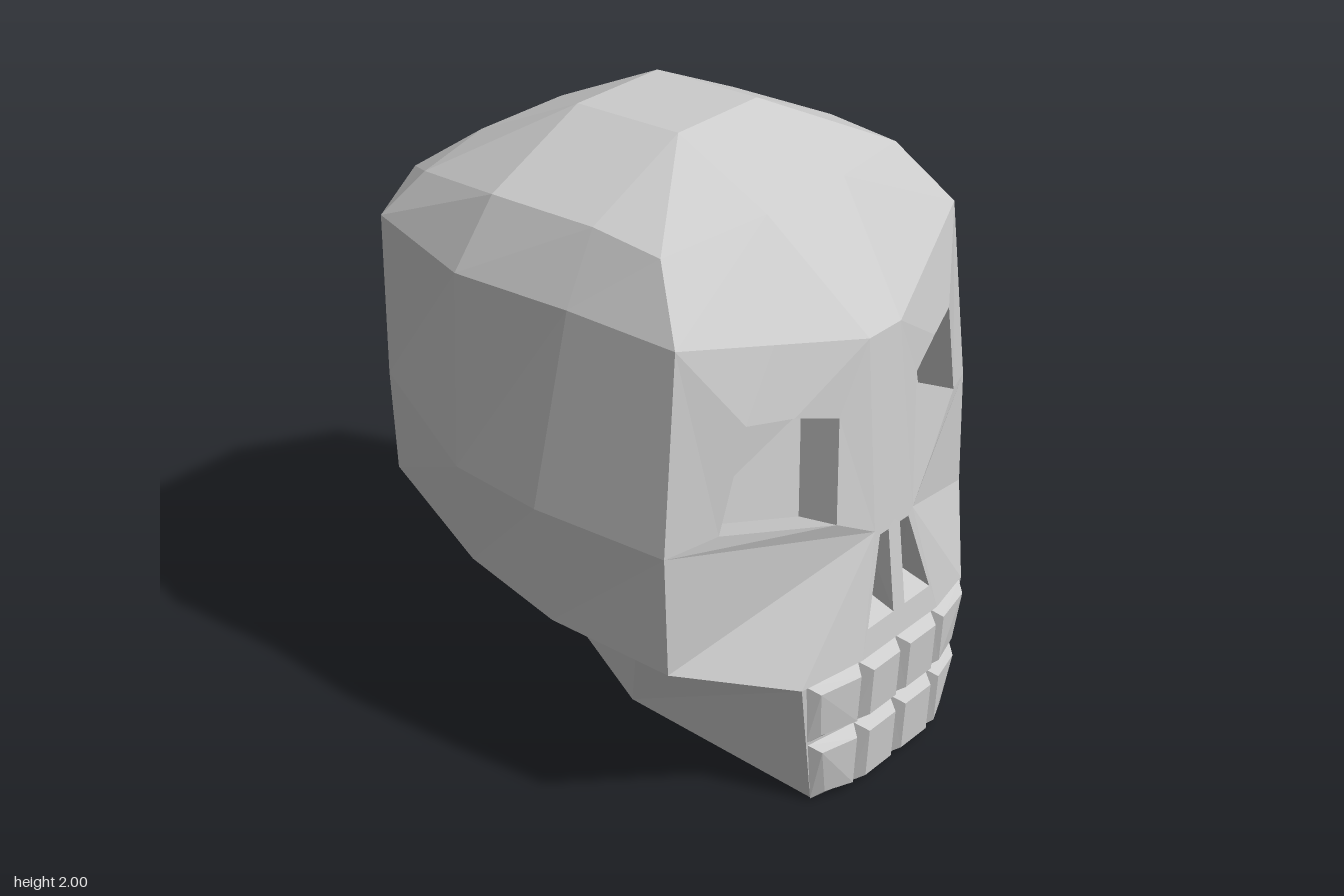
import * as THREE from 'three';

const material = new THREE.MeshStandardMaterial({ color: 0xcccccc, flatShading: true });

const onAxis = ([, y, z]) => [0, y, z];
const mid = (a, b) => a.map((v, i) => (v + b[i]) / 2);
const average = (pts) => [0, 1, 2].map((i) => pts.reduce((s, p) => s + p[i], 0) / pts.length);

// Quads between two rows of equal length; closed rows wrap around
function bridge(a, b, closed = false) {
  const quads = [];
  for (let i = 0; i < a.length - (closed ? 0 : 1); i++) {
    const j = (i + 1) % a.length;
    quads.push([a[i], a[j], b[j], b[i]]);
  }
  return quads;
}

// Faceted mesh of the +x half and its mirror. Faces point away from centre,
// or towards it when hollow is set.
function mirroredMesh(name, polygons, centre, hollow = false) {
  const positions = [];
  const c = new THREE.Vector3(...centre);
  for (const poly of polygons) {
    for (let i = 1; i < poly.length - 1; i++) {
      let tri = [poly[0], poly[i], poly[i + 1]];
      const [p, q, r] = tri.map((v) => new THREE.Vector3(...v));
      const normal = q.clone().sub(p).cross(r.clone().sub(p));
      if (normal.length() < 1e-7) continue;
      const outward = normal.dot(p.add(q).add(r).divideScalar(3).sub(c)) > 0;
      if (outward === hollow) tri = tri.reverse();
      tri.forEach((v) => positions.push(...v));
      [...tri].reverse().forEach(([x, y, z]) => positions.push(-x, y, z));
    }
  }
  const geometry = new THREE.BufferGeometry();
  geometry.setAttribute('position', new THREE.Float32BufferAttribute(positions, 3));
  geometry.computeVertexNormals();
  const mesh = new THREE.Mesh(geometry, material);
  mesh.name = name;
  return mesh;
}

// Recess: walls from the opening to a back panel
const recess = (name, rim, back) =>
  mirroredMesh(name, [...bridge(rim, back, true), back], average(rim), true);

// Tooth: bevelled block on a four-cornered base (inner/outer bottom, outer/inner top)
function tooth(name, base, inset, rise) {
  const m = average(base);
  const front = base.map(([x, y, z]) => [
    x - Math.sign(x - m[0]) * inset, y - Math.sign(y - m[1]) * inset, z + rise]);
  return mirroredMesh(name, [...bridge(base, front, true), front], [m[0], m[1], m[2] - 0.02]);
}

export function createModel() {
  const skull = new THREE.Group();
  skull.name = 'skull';

  // Half rings of the skull, each running from front to back
  const crownF = [0.19, 2, 0.17], crownB = [0.19, 2, -0.22];
  const crown = [crownF, crownF, crownF, crownB, crownB, crownB];
  const temple = [[0.19, 1.83, 0.5], [0.58, 1.8, 0.42], [0.58, 1.83, 0.17],
    [0.58, 1.83, -0.22], [0.45, 1.76, -0.62], [0.19, 1.82, -0.62]];
  const brow = [[0.08, 1.48, 0.8], [0.7, 1.6, 0.57], [0.7, 1.61, 0.17],
    [0.71, 1.61, -0.26], [0.55, 1.62, -0.72], [0.19, 1.62, -0.92]];
  const middle = [[0.775, 0.97, 0.59], [0.785, 0.97, 0.1], [0.735, 0.97, -0.26],
    [0.54, 1.07, -0.73], [0.19, 1.1, -0.92]];
  const low = [[0.77, 0.58, 0.6], [0.75, 0.58, 0.13], [0.68, 0.62, -0.26],
    [0.52, 0.72, -0.73], [0.19, 0.95, -0.92]];
  const nape = [0.34, 0.6, -0.73];
  const base = [[0.43, 0.45, 0.84], [0.49, 0.45, 0.25], [0.4, 0.45, -0.26], nape, nape];

  // Cranium
  const whole = (row) => [onAxis(row[0]), ...row, onAxis(row.at(-1))];
  const toBack = (row) => [...row, onAxis(row.at(-1))];
  skull.add(mirroredMesh('cranium', [
    [crownF, crownB, onAxis(crownB), onAxis(crownF)],
    ...bridge(whole(crown), whole(temple)),
    ...bridge(whole(temple), whole(brow)),
    ...bridge(toBack(brow.slice(1)), toBack(middle)),
    ...bridge(toBack(middle), toBack(low)),
    ...bridge(toBack(low), toBack(base)),
    [nape, base[2], onAxis(base[2]), onAxis(nape)],
  ], [0, 1.1, 0]));

  // Face, with openings for the eyes and nose
  const noseTop = [0.1, 0.86, 0.858], lip = [0.2, 0.47, 0.9];
  const eyeFrame = [brow[0], mid(brow[0], brow[1]), brow[1], middle[0], noseTop];
  const eyeRim = [[0.2, 1.26, 0.785], [0.36, 1.31, 0.74], [0.52, 1.33, 0.685],
    [0.61, 1, 0.66], [0.24, 0.93, 0.815]];
  const noseFrame = [onAxis(noseTop), noseTop, lip, onAxis(lip)];
  const noseRim = [[0.03, 0.84, 0.86], [0.075, 0.84, 0.86], [0.165, 0.56, 0.89], [0.03, 0.56, 0.89]];
  const jawFront = [[0, 0.455, 0.87], [0.2, 0.455, 0.87], base[0]];
  skull.add(mirroredMesh('face', [
    [onAxis(brow[0]), brow[0], noseTop, onAxis(noseTop)],
    ...bridge(eyeFrame, eyeRim, true),
    [noseTop, middle[0], low[0], base[0], lip],
    ...bridge(noseFrame, noseRim, true),
    ...bridge([onAxis(lip), lip, base[0]], jawFront),
  ], [0, 1, 0]));

  // Eye sockets and nostrils
  skull.add(recess('eyeSockets', eyeRim, eyeRim.map(([x, y, z]) => [x, y - 0.02, z - 0.14])));
  skull.add(recess('nostrils', noseRim,
    [[0.035, 0.79, 0.78], [0.07, 0.79, 0.78], [0.15, 0.6, 0.79], [0.035, 0.6, 0.79]]));

  // Jaw
  const chin = [[0, 0, 0.85], [0.19, 0, 0.85], [0.345, 0.01, 0.82]];
  const jawTop = base.slice(0, 3);
  const jawLow = [chin[2], [0.385, 0.11, 0.14], [0.34, 0.33, -0.2]];
  skull.add(mirroredMesh('jaw', [
    ...bridge(jawFront, chin),
    ...bridge(toBack(jawTop), toBack(jawLow)),
    ...bridge(jawLow, jawLow.map(onAxis)),
    [chin[0], chin[1], chin[2], onAxis(chin[2])],
  ], [0, 0.3, 0.3]));

  // Teeth: two rows, an inner and an outer tooth on each side
  const rows = [
    { name: 'upper', y0: 0.235, y1: 0.455, x0: 0.385, x1: 0.41, z: 0.878 },
    { name: 'lower', y0: 0.005, y1: 0.23, x0: 0.345, x1: 0.385, z: 0.87 },
  ];
  for (const { name, y0, y1, x0, x1, z } of rows) {
    skull.add(tooth(name + 'InnerTeeth',
      [[0, y0, z - 0.01], [0.195, y0, z - 0.01], [0.195, y1, z], [0, y1, z]], 0.028, 0.043));
    skull.add(tooth(name + 'OuterTeeth',
      [[0.195, y0, z - 0.01], [x0, y0, z - 0.05], [x1, y1, z - 0.035], [0.195, y1, z]], 0.028, 0.035));
  }
  return skull;
}
